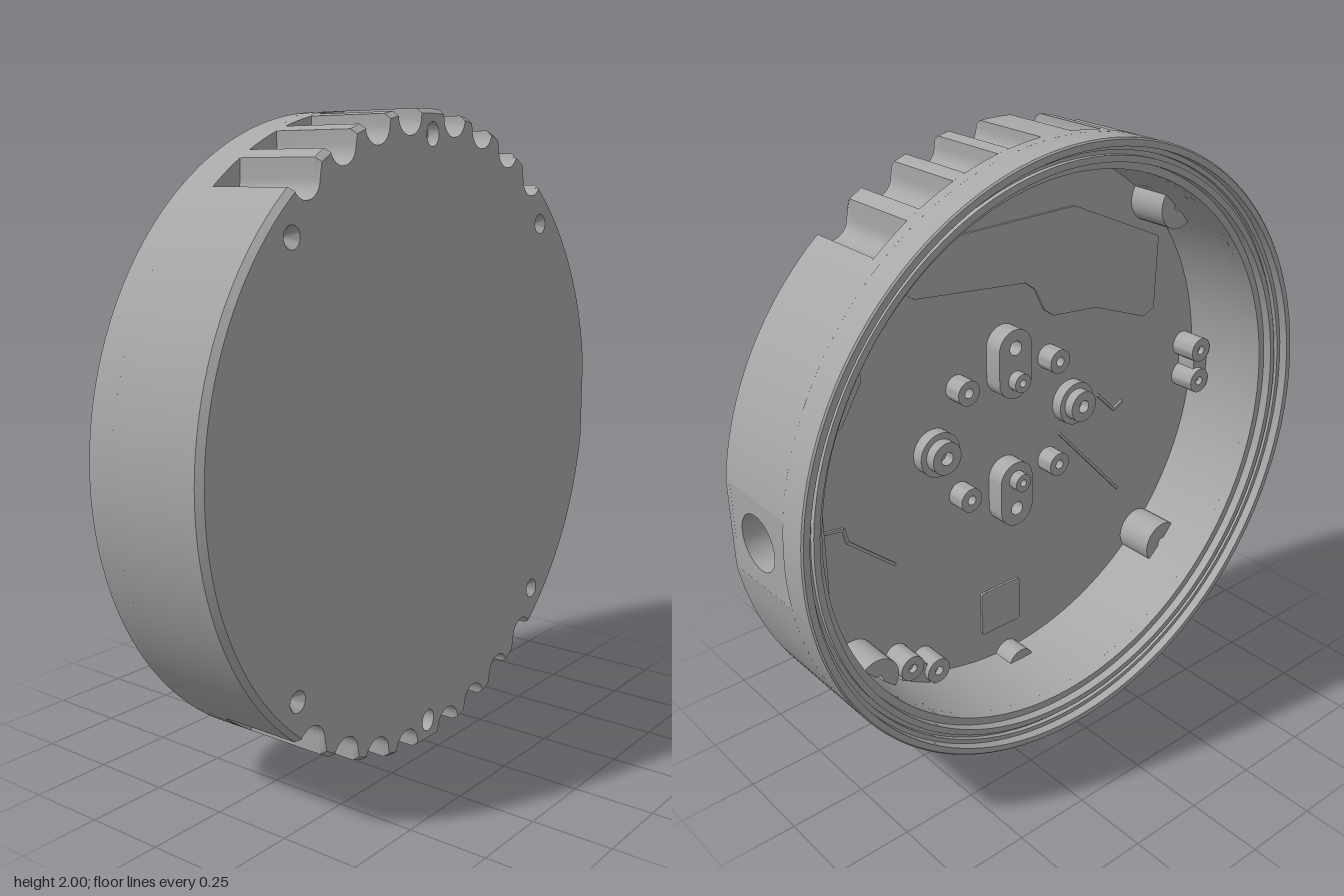
import * as THREE from 'three';
import { toCreasedNormals } from 'three/addons/utils/BufferGeometryUtils.js';

const V = (x, y) => new THREE.Vector2(x, y);
const FLOOR = 0.17, FRONT = 0.21, INNER = 0.9, FLAT_Y = 0.14;
const FLAT_ANGLE = Math.asin(FLAT_Y);
const gripX = [0.115, 0.27, 0.425, 0.58];
const gripRadius = 0.057;

// Outer outline, counter-clockwise from the upper end of the flat at +x
function outline(withGrips) {
  const top = [];
  const centres = withGrips ? gripX.flatMap(x => [x, -x]) : [];
  for (let i = 0; i <= 90; i++) {
    const a = FLAT_ANGLE + (Math.PI - FLAT_ANGLE) * i / 90;
    const x = Math.cos(a);
    if (!centres.some(c => Math.abs(x - c) < gripRadius + 0.002)) top.push(V(x, Math.sin(a)));
  }
  for (const c of centres) {
    const cy = Math.sqrt(1 - c * c) - 0.018;
    for (const s of [-1, 1]) {
      const x = c + s * (gripRadius + 0.0005);
      top.push(V(x, Math.sqrt(1 - x * x)));
    }
    for (let i = 0; i <= 16; i++) {
      const t = Math.PI * i / 16, x = c + gripRadius * Math.cos(t);
      top.push(V(x, Math.min(cy - gripRadius * Math.sin(t), Math.sqrt(1 - x * x))));
    }
  }
  top.sort((p, q) => q.x - p.x);
  const bottom = top.slice(0, -1).reverse().map(p => V(p.x, -p.y));
  return [...top, ...bottom];
}

// Wall band, open at the +x side where the port block sits
function wallShape(withGrips) {
  const pts = outline(withGrips), a = Math.asin(FLAT_Y / INNER);
  for (let i = 0; i <= 120; i++) {
    const t = -a - (2 * Math.PI - 2 * a) * i / 120;
    pts.push(V(INNER * Math.cos(t), INNER * Math.sin(t)));
  }
  return new THREE.Shape(pts);
}

// Front plate with four countersunk holes and two slots
function plateShape() {
  const shape = new THREE.Shape(outline(true));
  const hole = (x, y, rx, ry) => {
    shape.holes.push(new THREE.Path().absellipse(x, y, rx, ry, 0, Math.PI * 2, true));
  };
  for (const sy of [-1, 1]) {
    for (const sx of [-1, 1]) hole(sx * 0.64, sy * 0.645, 0.033, 0.033);
    hole(0, sy * 0.925, 0.031, 0.036);
  }
  return shape;
}

const extrude = (shape, z0, z1) =>
  new THREE.ExtrudeGeometry(shape, { depth: z1 - z0, bevelEnabled: false, curveSegments: 20 }).translate(0, 0, z0);

const lathe = (pts, segments) =>
  toCreasedNormals(new THREE.LatheGeometry(pts.map(p => V(...p)), segments).rotateX(Math.PI / 2), 0.6);

function roundedRect(w, h, r) {
  const s = new THREE.Shape();
  s.absarc(w / 2 - r, h / 2 - r, r, 0, Math.PI / 2);
  s.absarc(-w / 2 + r, h / 2 - r, r, Math.PI / 2, Math.PI);
  s.absarc(-w / 2 + r, -h / 2 + r, r, Math.PI, Math.PI * 1.5);
  s.absarc(w / 2 - r, -h / 2 + r, r, Math.PI * 1.5, Math.PI * 2);
  return s;
}

export function createModel() {
  const model = new THREE.Group();
  model.name = 'roundCase';
  const body = new THREE.Group();
  body.name = 'caseBody';
  body.position.y = 1;
  model.add(body);
  const grey = new THREE.MeshStandardMaterial({ color: 0xa8a8a8 });
  grey.name = 'grey';

  const add = (name, geometry, x = 0, y = 0, angle = 0) => {
    const mesh = new THREE.Mesh(geometry, grey);
    mesh.name = name;
    mesh.position.set(x, y, 0);
    mesh.rotation.z = angle;
    body.add(mesh);
    return mesh;
  };

  // Stepped rim around the open back
  add('backRim', lathe([
    [0.9, -0.115], [0.9, -0.15], [0.925, -0.15], [0.925, -0.18], [0.945, -0.18], [0.945, -0.165],
    [0.96, -0.165], [0.96, -0.18], [0.975, -0.18], [0.975, -0.21], [0.995, -0.21], [1, -0.205],
    [1, -0.115], [0.9, -0.115]], 128));

  // Side wall: plain band, then the band with finger grips
  add('plainWall', toCreasedNormals(extrude(wallShape(false), -0.115, -0.08), 0.5));
  add('gripWall', toCreasedNormals(extrude(wallShape(true), -0.08, FLOOR), 0.5));

  // Flat block with the round side port
  const port = new THREE.Shape([V(-FLOOR, -FLAT_Y), V(0.115, -FLAT_Y), V(0.115, FLAT_Y), V(-FLOOR, FLAT_Y)]);
  port.holes.push(new THREE.Path().absarc(-0.04, 0, 0.087, 0, Math.PI * 2, true));
  add('sidePort', toCreasedNormals(extrude(port, 0.87, 0.99).rotateY(Math.PI / 2), 0.5));

  // Front plate, its outer edge chamfered
  add('frontPlate', toCreasedNormals(extrude(plateShape(), FLOOR, 0.19), 0.5));
  const face = extrude(plateShape(), 0.19, FRONT);
  const p = face.attributes.position;
  for (let i = 0; i < p.count; i++) {
    const r = Math.hypot(p.getX(i), p.getY(i));
    if (p.getZ(i) > 0.2 && r > 0.985) p.setXY(i, p.getX(i) * 0.985 / r, p.getY(i) * 0.985 / r);
  }
  add('frontFace', toCreasedNormals(face, 0.5));

  // Post standing on the inner floor with a blind hole in its end
  const post = (name, x, y, r, hole, z0) => add(name, lathe([
    [0, z0 + 0.035], [hole, z0 + 0.035], [hole, z0], [r, z0], [r, FLOOR]], 28), x, y);

  for (const sy of [-1, 1]) {
    for (const sx of [-1, 1]) {
      post('cornerBoss', sx * 0.64, sy * 0.645, 0.08, 0.02, 0.03);
      add('countersink', lathe([[0.033, FRONT], [0.006, FLOOR + 0.001]], 24), sx * 0.64, sy * 0.645);
      post('standoff', sx * 0.19, sy * 0.19, 0.042, 0.016, 0.105);
    }
    post('slotBoss', 0, sy * 0.915, 0.052, 0.015, 0.09);
    // Stepped mounting boss
    post('bossBase', sy * 0.29, 0, 0.076, 0.03, 0.13);
    post('bossTop', sy * 0.29, 0, 0.055, 0.022, 0.095);
    // Oblong boss with a locating pin and a screw hole
    const oblong = roundedRect(0.135, 0.235, 0.067);
    oblong.holes.push(new THREE.Path().absarc(0, sy * 0.055, 0.024, 0, Math.PI * 2, true));
    add('oblongBoss', toCreasedNormals(extrude(oblong, 0.105, FLOOR), 0.5), 0, sy * 0.235);
    post('locatingPin', 0, sy * 0.18, 0.032, 0.012, 0.07);
  }

  // Three pairs of screw bosses against the wall
  for (const a of [Math.PI / 3, Math.PI, -Math.PI / 3]) {
    const c = Math.cos(a), s = Math.sin(a);
    for (const t of [-0.06, 0.06]) post('screwBoss', 0.845 * c - t * s, 0.845 * s + t * c, 0.045, 0.016, 0.075);
    add('screwBossWeb', extrude(roundedRect(0.075, 0.14, 0.01), 0.095, FLOOR), 0.87 * c, 0.87 * s, a);
  }

  // Shallow pads on the inner floor
  const pad = (name, shape, x, y, angle) => add(name, extrude(shape, FLOOR - 0.008, FLOOR), x, y, angle);
  pad('squarePad', roundedRect(0.21, 0.19, 0.03), 0.67, 0.31, 0.55);
  pad('smallPad', roundedRect(0.12, 0.14, 0.01), 0.56, 0.45, 0.55);
  pad('sidePad', roundedRect(0.13, 0.18, 0.02), 0.82, -0.2, 0);
  pad('lowerPad', roundedRect(0.17, 0.17, 0.01), 0.03, -0.7, 0);
  pad('boardPad', new THREE.Shape([V(0.39, 0.68), V(0.37, 0.54), V(0.34, 0.52), V(-0.09, 0.47), V(-0.13, 0.44),
    V(-0.17, 0.36), V(-0.21, 0.33), V(-0.4, 0.31), V(-0.63, 0.22), V(-0.68, 0.24), V(-0.69, 0.5), V(-0.3, 0.68)]), 0, 0, 0);

  // Thin ribs on the inner floor
  const rib = pts => {
    for (let i = 1; i < pts.length; i++) {
      const [x0, y0] = pts[i - 1], [x1, y1] = pts[i], dx = x1 - x0, dy = y1 - y0;
      const strip = new THREE.BoxGeometry(Math.hypot(dx, dy), 0.01, 0.008).translate(0, 0, FLOOR - 0.004);
      add('floorRib', strip, (x0 + x1) / 2, (y0 + y1) / 2, Math.atan2(dy, dx));
    }
  };
  rib([[0.77, 0.04], [0.76, -0.13], [0.64, -0.15], [0.63, -0.2], [0.46, -0.35]]);
  rib([[-0.24, -0.11], [-0.53, -0.43]]);
  rib([[-0.42, -0.02], [-0.5, -0.1], [-0.54, -0.08]]);

  return model;
}
